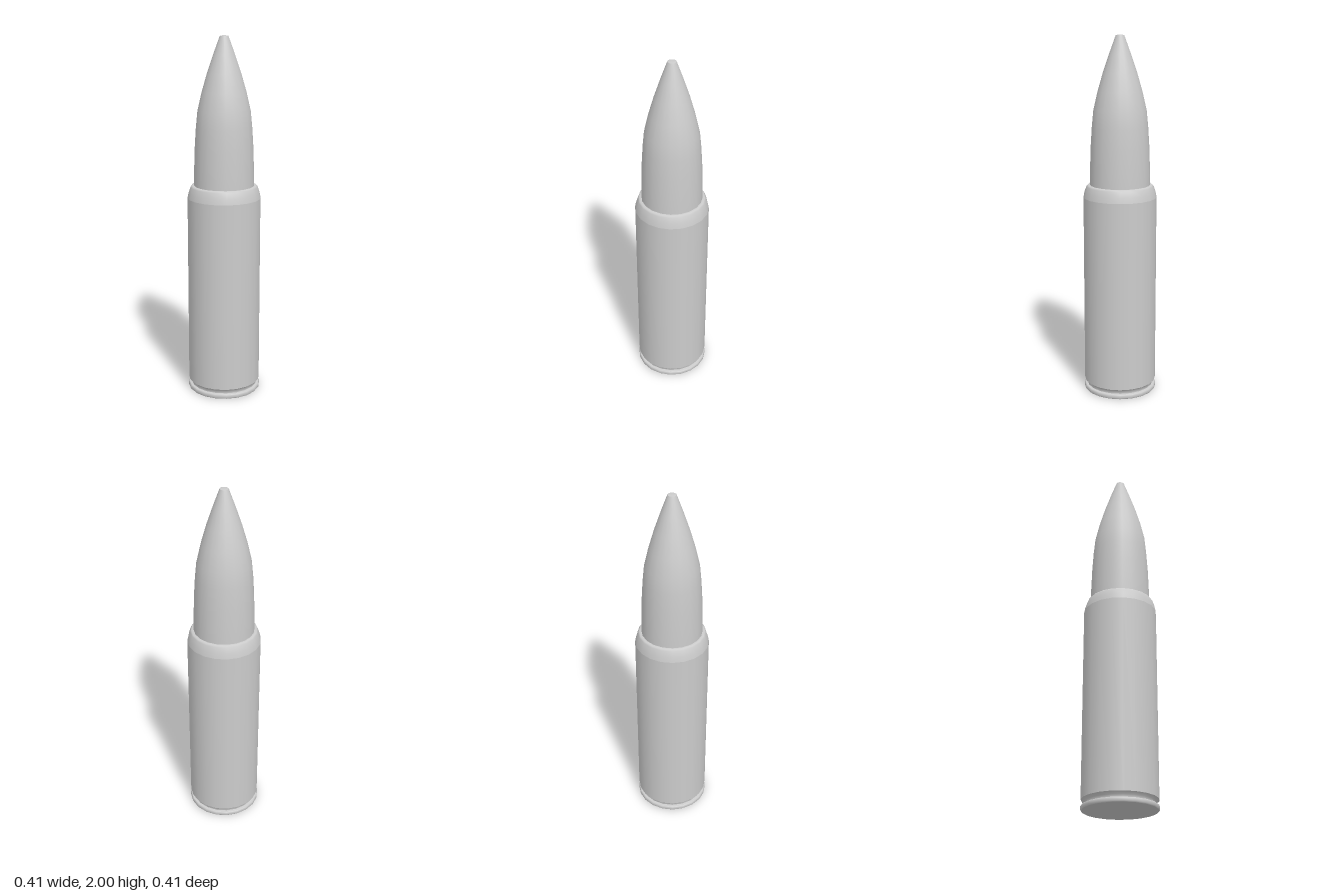
import * as THREE from 'three';

const SIDES = 20;

export function createModel() {
  const group = new THREE.Group();
  const material = new THREE.MeshStandardMaterial({ color: 0xcccccc });

  // Revolves a bottom-to-top [radius, height] profile; smooth within one profile
  function turned(name, profile) {
    const points = profile.map(([r, y]) => new THREE.Vector2(r, y));
    const mesh = new THREE.Mesh(new THREE.LatheGeometry(points, SIDES), material);
    mesh.name = name;
    group.add(mesh);
  }

  // Base: flat underside, rim and extractor groove
  turned('baseDisc', [[0, 0], [0.2, 0]]);
  turned('rim', [[0.2, 0], [0.205, 0.006], [0.205, 0.02], [0.2, 0.025]]);
  turned('rimTop', [[0.2, 0.025], [0.187, 0.027]]);
  turned('extractorGroove', [[0.187, 0.027], [0.187, 0.042], [0.203, 0.055]]);

  // Case: straight wall, tapered shoulder and rolled mouth
  turned('caseWall', [[0.203, 0.055], [0.203, 1.12]]);
  turned('caseShoulder', [[0.203, 1.12], [0.197, 1.15], [0.186, 1.182], [0.179, 1.19], [0.166, 1.19]]);

  // Projectile: gently tapered shank flowing into a pointed nose
  turned('projectile', [
    [0.167, 1.17], [0.166, 1.25], [0.161, 1.4], [0.154, 1.51], [0.145, 1.6],
    [0.122, 1.7], [0.093, 1.8], [0.059, 1.9], [0.028, 1.985], [0.023, 1.998],
  ]);
  turned('projectileTip', [[0.023, 1.998], [0.015, 2], [0, 2]]);

  return group;
}
